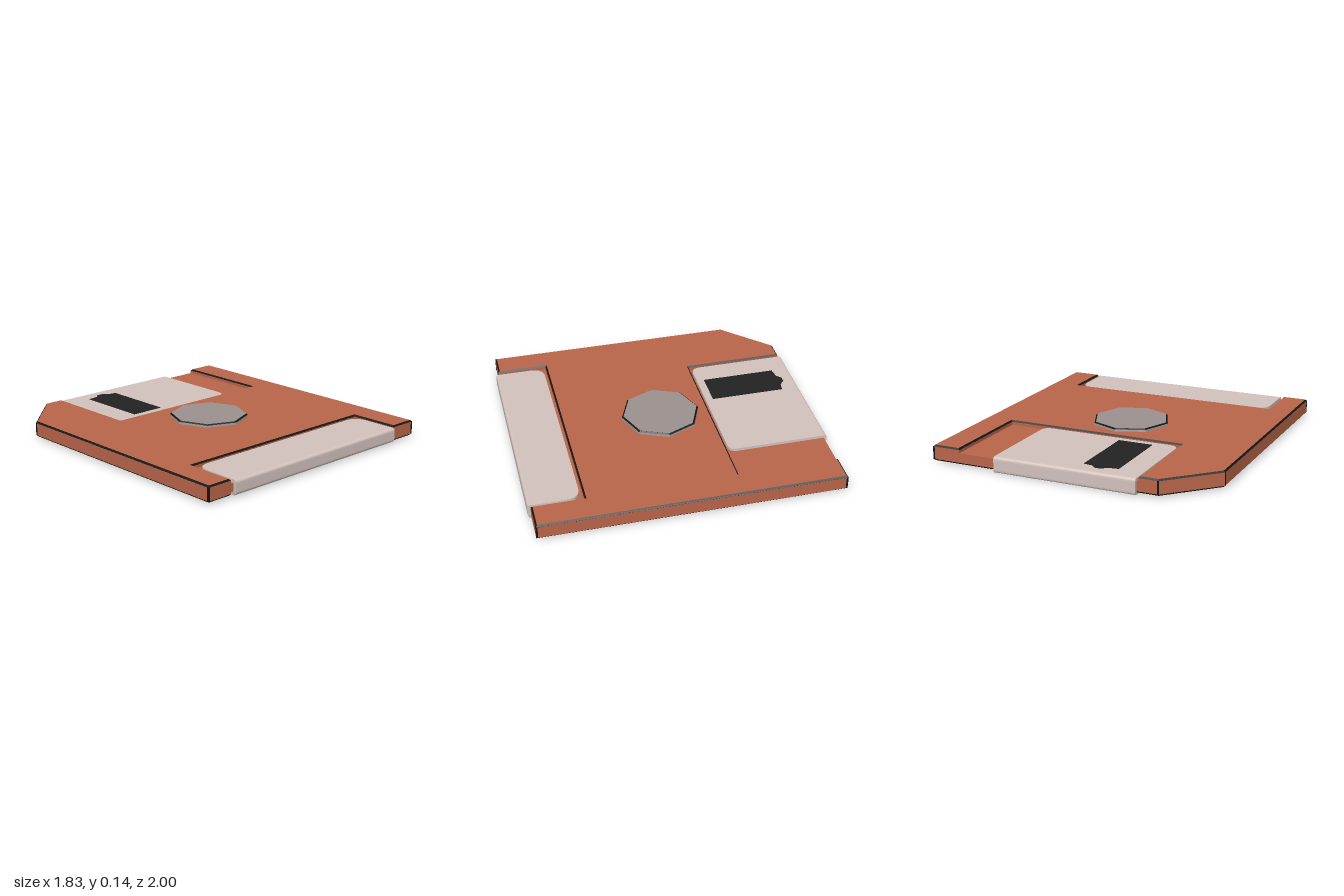
import * as THREE from 'three';

const mat = (name, color) => Object.assign(new THREE.MeshStandardMaterial({ color }), { name });

// Outline given as [x, z] pairs, turned into a shape that lies flat after extrusion
const outline = (pts) => new THREE.Shape(pts.map(([x, z]) => new THREE.Vector2(x, -z)));

// Flat slab between two heights
function slab(shape, y0, y1, options = {}) {
  const g = new THREE.ExtrudeGeometry(shape, { depth: y1 - y0, bevelEnabled: false, curveSegments: 6, ...options });
  return g.rotateX(-Math.PI / 2).translate(0, y0, 0);
}

// Plate whose inner corners are rounded; dir is the side (+z or -z) it folds over
function plateShape(x0, x1, zIn, zOut, r) {
  const s = new THREE.Shape(), d = Math.sign(zOut - zIn);
  s.moveTo(x0, -zOut);
  s.lineTo(x0, -(zIn + d * r));
  s.quadraticCurveTo(x0, -zIn, x0 + r, -zIn);
  s.lineTo(x1 - r, -zIn);
  s.quadraticCurveTo(x1, -zIn, x1, -(zIn + d * r));
  s.lineTo(x1, -zOut);
  return s;
}

// Rounded fold running along x at the outer edge of the case
function fold(x0, x1, y0, y1, dir) {
  const r = 0.02, s = new THREE.Shape();
  s.moveTo(0.96, y0);
  s.lineTo(1 - r, y0);
  s.quadraticCurveTo(1, y0, 1, y0 + r);
  s.lineTo(1, y1 - r);
  s.quadraticCurveTo(1, y1, 1 - r, y1);
  s.lineTo(0.96, y1);
  const g = new THREE.ExtrudeGeometry(s, { depth: x1 - x0, bevelEnabled: false, curveSegments: 5 });
  g.translate(0, 0, -(x1 - x0) / 2).rotateY(dir > 0 ? -Math.PI / 2 : Math.PI / 2);
  return g.translate((x0 + x1) / 2, 0, 0);
}

// Faceted eight-sided disc
function octagon(rTop, rBottom, y0, y1) {
  const g = new THREE.CylinderGeometry(rTop, rBottom, y1 - y0, 8).toNonIndexed();
  g.computeVertexNormals();
  return g.translate(0, (y0 + y1) / 2, 0);
}

export function createModel() {
  const model = new THREE.Group();
  model.name = 'floppyDisk';
  const orange = mat('orange plastic', 0xba664a);
  const black = mat('black edge', 0x131615);
  const pale = mat('pale metal', 0xd4c3be);
  const grey = mat('grey label', 0xb8b8b8);
  const hubGrey = mat('hub metal', 0x9c928f);
  const dark = mat('dark slot', 0x222222);

  const add = (name, geometry, material) => {
    const m = new THREE.Mesh(geometry, material);
    m.name = name;
    model.add(m);
    return m;
  };

  // Case: full core, with recessed top and bottom layers
  const W = 0.915, D = 0.98;
  const corner = [[-0.62, -D], [-W, -0.68]];
  const core = [[-W, D], [W, D], [W, -D], ...corner];
  const top = [
    [-W, D], [-0.74, D], [-0.74, 0.65], [0.725, 0.65], [0.725, D], [W, D],
    [W, -D], [0.725, -D], [0.725, -0.325], [-0.49, -0.325], [-0.49, -D], ...corner,
  ];
  const bottom = [
    [-W, D], [-0.74, D], [-0.74, -0.2], [0.725, -0.2], [0.725, D], [W, D], [W, -D], ...corner,
  ];
  add('caseCore', slab(outline(core), 0.035, 0.085), orange);
  add('caseTop', slab(outline(top), 0.085, 0.105), orange);
  add('caseBottom', slab(outline(bottom), 0.022, 0.035), orange);

  // Black chamfers with orange faces
  const chamfer = {
    bevelEnabled: true, bevelSegments: 1, bevelSize: 0.01, bevelOffset: -0.01, bevelThickness: 0.01,
  };
  add('topFace', slab(outline(top), 0.104, 0.105, chamfer), [orange, black]);
  add('bottomFace', slab(outline(bottom), 0.022, 0.023, chamfer), [orange, black]);

  // Black upright edges at the outer corners
  for (const [x, z] of core) {
    const post = add('cornerEdge', new THREE.BoxGeometry(0.012, 0.084, 0.012), black);
    post.position.set(x - Math.sign(x) * 0.005, 0.0635, z - Math.sign(z) * 0.005);
  }

  // Sliding shutter folded over the back edge
  add('shutterTop', slab(plateShape(-0.48, 0.47, -0.34, -0.98, 0.06), 0.084, 0.104), pale);
  add('shutterFold', fold(-0.48, 0.47, 0, 0.104, -1), pale);
  add('shutterBottom', slab(plateShape(-0.48, 0.47, -0.34, -0.98, 0.005), 0, 0.013), pale);

  // Slot in the shutter
  const slot = [
    [-0.32, -0.39], [-0.09, -0.39], [-0.09, -0.88], [-0.15, -0.89], [-0.18, -0.92],
    [-0.22, -0.92], [-0.25, -0.89], [-0.32, -0.88],
  ];
  add('shutterSlot', slab(outline(slot), 0.103, 0.107), dark);

  // Label folded over the front edge
  add('labelTop', slab(plateShape(-0.72, 0.71, 0.67, 0.98, 0.09), 0.084, 0.106), pale);
  add('labelFold', fold(-0.72, 0.71, 0.014, 0.106, 1), pale);
  add('labelBottom', slab(plateShape(-0.725, 0.715, -0.195, 0.99, 0.005), 0.013, 0.036), grey);

  // Eight-sided hub with a black rim
  add('hubSide', octagon(0.26, 0.264, 0.11, 0.127), hubGrey);
  add('hubRim', octagon(0.25, 0.26, 0.127, 0.134), black);
  add('hubCap', octagon(0.249, 0.249, 0.13, 0.136), hubGrey);

  return model;
}
